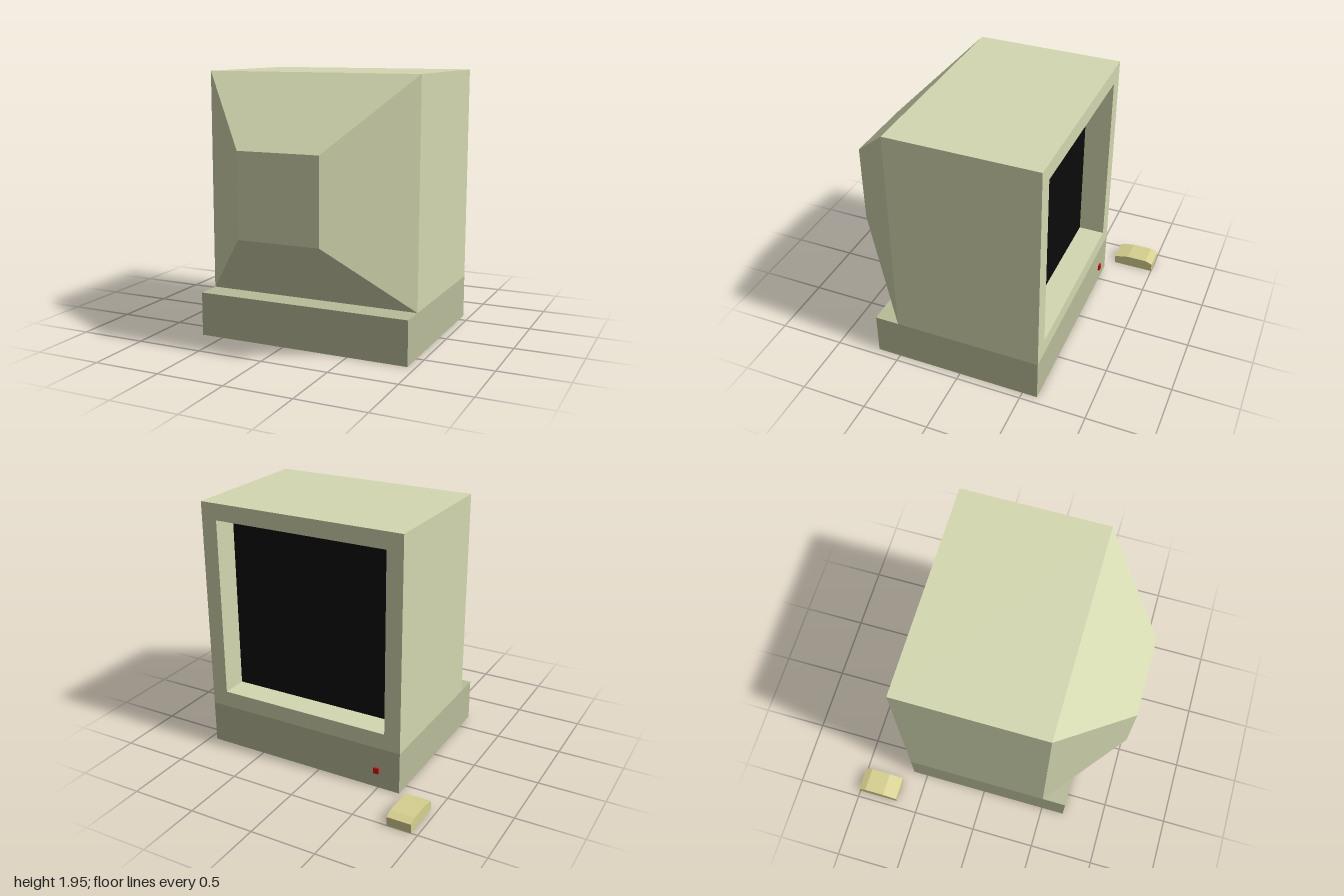
import * as THREE from 'three';

const CX = 0.1375, W = 1.615;           // casing centre and width in x
const BASE_TOP = 0.325, TOP = 1.945;    // casing heights
const BACK = -0.615, SHOULDER = 0.495;  // z of the screen face and of the tube housing's start
const BORDER = 0.125, RECESS = 0.2;

const mat = (color) => new THREE.MeshStandardMaterial({ color, flatShading: true });

export function createModel() {
  const group = new THREE.Group();
  const bodyMat = mat(0xd4d8b0), baseMat = mat(0xb9bc99);
  const mouseMat = mat(0xd8d090), black = mat(0x0a0a0a), red = mat(0xcc1408);

  const add = (name, geometry, material, x = 0, y = 0, z = 0) => {
    const mesh = new THREE.Mesh(geometry, material);
    mesh.name = name;
    mesh.position.set(x, y, z);
    group.add(mesh);
  };
  const rect = (C, w, h) => new C([[-1, -1], [1, -1], [1, 1], [-1, 1]]
    .map(([x, y]) => new THREE.Vector2(x * w / 2, y * h / 2)));

  const H = TOP - BASE_TOP, midY = (TOP + BASE_TOP) / 2;

  // Monitor casing with a window for the recessed screen
  const frame = rect(THREE.Shape, W, H);
  frame.holes.push(rect(THREE.Path, W - 2 * BORDER, H - 2 * BORDER));
  add('monitorCasing', new THREE.ExtrudeGeometry(frame, { depth: SHOULDER - BACK, bevelEnabled: false }),
    bodyMat, CX, midY, BACK);

  // Screen, facing -z
  add('screen', new THREE.PlaneGeometry(W - 2 * BORDER, H - 2 * BORDER).rotateY(Math.PI),
    black, CX, midY, BACK + RECESS);

  // Tapered tube housing: a four-sided frustum pointing to +z
  const depth = 1 - SHOULDER;
  const taper = new THREE.CylinderGeometry(0.3025 * Math.SQRT2, W / 2 * Math.SQRT2, depth, 4)
    .rotateY(Math.PI / 4).rotateX(Math.PI / 2).scale(1, H / W, 1);
  add('tubeHousing', taper, bodyMat, CX, midY, SHOULDER + depth / 2);

  // Computer base
  add('base', new THREE.BoxGeometry(W, BASE_TOP, 0.68 - BACK), baseMat,
    CX, BASE_TOP / 2, (0.68 + BACK) / 2);

  // Power button
  add('powerButton', new THREE.BoxGeometry(0.04, 0.045, 0.03), red, -0.485, 0.14, BACK);

  // Mouse: side profile (u = -z, y) swept across its width
  const side = new THREE.Shape([[0.68, 0], [1, 0], [1, 0.068], [0.945, 0.09], [0.79, 0.09], [0.68, 0.066]]
    .map(([u, y]) => new THREE.Vector2(u, y)));
  const mouse = new THREE.ExtrudeGeometry(side, { depth: 0.185, bevelEnabled: false }).rotateY(Math.PI / 2);
  add('mouse', mouse, mouseMat, -0.95, 0, 0);

  return group;
}
